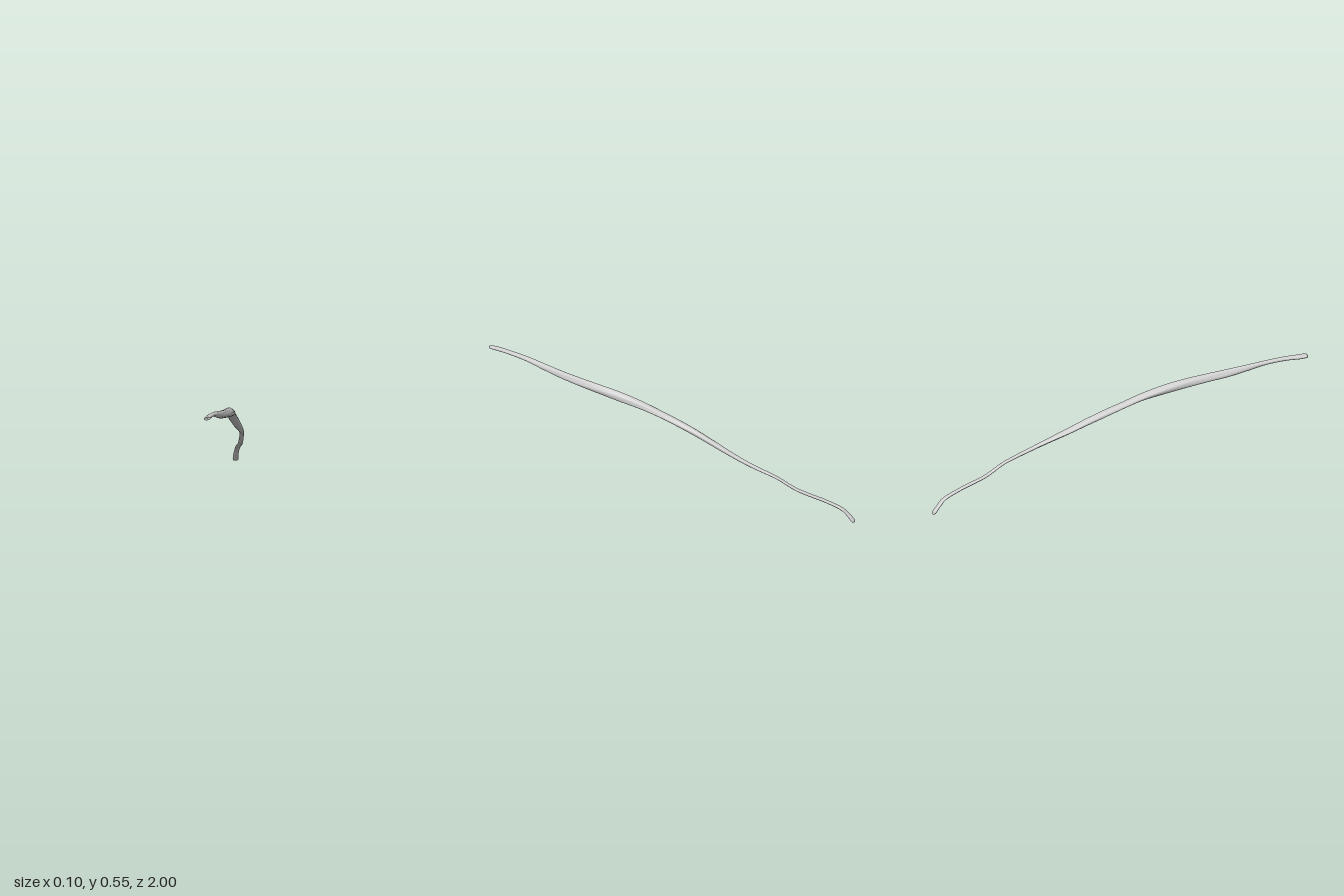
import * as THREE from 'three';

// Stations from front to back: centre x, y, z, half width, half thickness, tilt
const STATIONS = [
  [-0.034, 0.543, 1.0, 0.017, 0.008, 0.2],
  [-0.033, 0.542, 0.95, 0.016, 0.010, 0.25],
  [-0.024, 0.540, 0.88, 0.014, 0.010, 0.1],
  [-0.014, 0.530, 0.78, 0.014, 0.011, -0.1],
  [-0.003, 0.512, 0.68, 0.015, 0.016, -0.3],
  [0.007, 0.495, 0.58, 0.017, 0.020, -0.4],
  [0.016, 0.481, 0.47, 0.020, 0.021, -0.4],
  [0.021, 0.468, 0.36, 0.022, 0.022, -0.3],
  [0.024, 0.452, 0.25, 0.023, 0.022, -0.2],
  [0.024, 0.431, 0.14, 0.022, 0.018, -0.1],
  [0.022, 0.404, 0.04, 0.022, 0.015, 0],
  [0.022, 0.374, -0.06, 0.022, 0.015, 0.1],
  [0.024, 0.341, -0.16, 0.021, 0.014, 0.15],
  [0.028, 0.304, -0.26, 0.019, 0.012, 0.15],
  [0.034, 0.268, -0.36, 0.015, 0.010, 0.1],
  [0.036, 0.234, -0.46, 0.011, 0.009, 0],
  [0.029, 0.203, -0.56, 0.011, 0.007, 0],
  [0.024, 0.185, -0.61, 0.011, 0.006, 0],
  [0.013, 0.141, -0.70, 0.012, 0.006, 0],
  [0.003, 0.118, -0.78, 0.013, 0.006, 0],
  [-0.008, 0.099, -0.85, 0.013, 0.006, 0],
  [-0.020, 0.070, -0.93, 0.012, 0.007, 0],
  [-0.028, 0.040, -0.965, 0.013, 0.008, 0],
  [-0.033, 0.001, -0.999, 0.015, 0.009, 0],
];
const RINGS = 230, SIDES = 28;

export function createModel() {
  const curve = offset => new THREE.CatmullRomCurve3(
    STATIONS.map(s => new THREE.Vector3().fromArray(s, offset)), false, 'catmullrom', 0.5);
  const path = curve(0), section = curve(3);
  const pos = [], index = [];
  const side = new THREE.Vector3(), up = new THREE.Vector3(), p = new THREE.Vector3();
  const worldUp = new THREE.Vector3(0, 1, 0);

  for (let i = 0; i <= RINGS; i++) {
    const t = i / RINGS;
    const c = path.getPoint(t), tan = path.getTangent(t), s = section.getPoint(t);
    side.crossVectors(tan, worldUp).normalize();
    up.crossVectors(side, tan).normalize();
    // Rounded ends, the front one slightly hollow
    const e = Math.min(1, Math.min(i, RINGS - i) / 3);
    const round = Math.sqrt(1 - (1 - e) ** 2);
    if (i === 0) c.addScaledVector(tan, 0.014);
    // The fleshy middle carries soft lengthwise folds
    const flesh = THREE.MathUtils.smoothstep(t, 0.05, 0.25) * (1 - THREE.MathUtils.smoothstep(t, 0.55, 0.8));
    for (let j = 0; j < SIDES; j++) {
      const a = j / SIDES * Math.PI * 2;
      const fold = 1 + flesh * (0.06 * Math.sin(3 * a + 9 * t) + 0.04 * Math.sin(5 * a - 22 * t));
      const u = Math.cos(a) * s.x * round * fold, v = Math.sin(a) * s.y * round * fold;
      const ct = Math.cos(s.z), st = Math.sin(s.z);
      p.copy(c).addScaledVector(side, u * ct - v * st).addScaledVector(up, u * st + v * ct);
      pos.push(p.x, Math.max(0, p.y), p.z);
      if (i < RINGS) {
        const k = (j + 1) % SIDES, r = i * SIDES, n = r + SIDES;
        index.push(r + j, n + j, r + k, r + k, n + j, n + k);
      }
    }
  }

  const geometry = new THREE.BufferGeometry();
  geometry.setAttribute('position', new THREE.Float32BufferAttribute(pos, 3));
  geometry.setIndex(index);
  geometry.computeVertexNormals();

  const strand = new THREE.Mesh(geometry, new THREE.MeshStandardMaterial({ color: 0xcccccc }));
  strand.name = 'taperedStrand';
  const group = new THREE.Group();
  group.name = 'strand';
  group.add(strand);
  return group;
}
